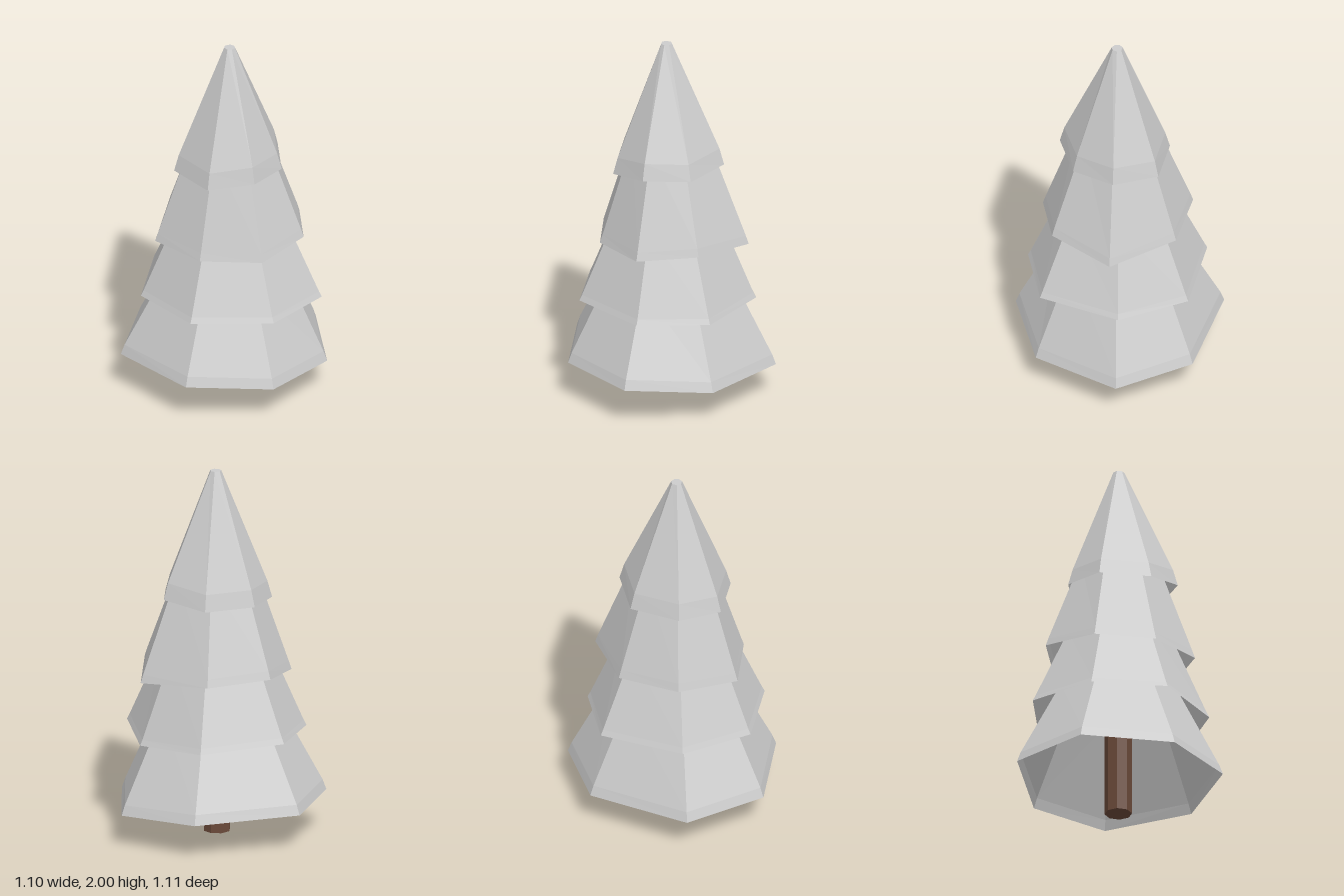
import * as THREE from 'three';

const CX = 0.037, CZ = 0.025; // tree axis

// Each tier: rim corners [x, y, z], lip height, lip inset, and the top ring (height, scale or fixed radius)
const TIERS = [
  { name: 'bottomBranches', lip: 0.055, inset: 0.02, topY: 0.7, scale: 0.57, rim: [
    [0.14, 0.175, -0.555], [0.515, 0.175, -0.215], [0.545, 0.205, 0.255], [0.185, 0.21, 0.55],
    [-0.32, 0.21, 0.495], [-0.55, 0.2, 0.095], [-0.295, 0.19, -0.425]] },
  { name: 'lowerBranches', lip: 0.03, inset: 0.015, topY: 1.02, scale: 0.59, rim: [
    [0.11, 0.55, -0.45], [0.49, 0.56, -0.2], [0.49, 0.558, 0.19], [0.165, 0.563, 0.49],
    [-0.24, 0.563, 0.425], [-0.455, 0.58, 0.07], [-0.28, 0.57, -0.37]] },
  { name: 'upperBranches', lip: 0.045, inset: 0.015, topY: 1.45, scale: 0.52, rim: [
    [0.15, 0.88, -0.41], [0.415, 0.92, -0.14], [0.41, 0.895, 0.19], [0.135, 0.885, 0.38],
    [-0.2, 0.88, 0.355], [-0.375, 0.925, 0.045], [-0.23, 0.91, -0.275]] },
  { name: 'topBranches', lip: 0.09, inset: 0.025, topY: 2, radius: 0.03, rim: [
    [0.11, 1.325, -0.28], [0.295, 1.305, -0.1], [0.325, 1.325, 0.155], [0.13, 1.282, 0.31],
    [-0.145, 1.288, 0.265], [-0.25, 1.3, 0.045], [-0.145, 1.3, -0.215]] },
];

// Faceted skirt: rim, lip ring, top ring, and a cap when it ends in the tip
function tierGeometry({ rim, lip, inset, topY, scale, radius }) {
  const at = ([x, , z], newRadius, y) => {
    const r = Math.hypot(x - CX, z - CZ), k = newRadius(r) / r;
    return [CX + (x - CX) * k, y, CZ + (z - CZ) * k];
  };
  const rings = [
    rim,
    rim.map(p => at(p, r => r - inset, p[1] + lip)),
    rim.map(p => at(p, r => radius ?? r * scale, topY)),
  ];
  const out = [], n = rim.length;
  const tri = (...corners) => corners.forEach(c => out.push(...c));
  for (let i = 0; i < n; i++) {
    const j = (i + 1) % n;
    for (let k = 0; k < 2; k++) {
      const a = rings[k], b = rings[k + 1];
      tri(a[i], b[i], b[j]);
      tri(a[i], b[j], a[j]);
    }
    if (radius) tri([CX, topY, CZ], rings[2][j], rings[2][i]);
  }
  const g = new THREE.BufferGeometry();
  g.setAttribute('position', new THREE.Float32BufferAttribute(out, 3));
  g.computeVertexNormals();
  return g;
}

export function createModel() {
  const tree = new THREE.Group();
  tree.name = 'tree';

  const foliage = new THREE.MeshStandardMaterial({
    name: 'paleGreyFoliage', color: 0xcccccc, flatShading: true, side: THREE.DoubleSide });
  const bark = new THREE.MeshStandardMaterial({
    name: 'brownBark', color: 0x6b4a3a, flatShading: true });

  // Foliage tiers, bottom to top
  for (const tier of TIERS) {
    const mesh = new THREE.Mesh(tierGeometry(tier), foliage);
    mesh.name = tier.name;
    tree.add(mesh);
  }

  // Eight-sided trunk running up inside the foliage
  const trunk = new THREE.Mesh(
    new THREE.CylinderGeometry(0.073, 0.073, 0.8, 8).rotateY(Math.PI / 8), bark);
  trunk.position.set(0.033, 0.4, 0.031);
  trunk.name = 'trunk';
  tree.add(trunk);

  return tree;
}
